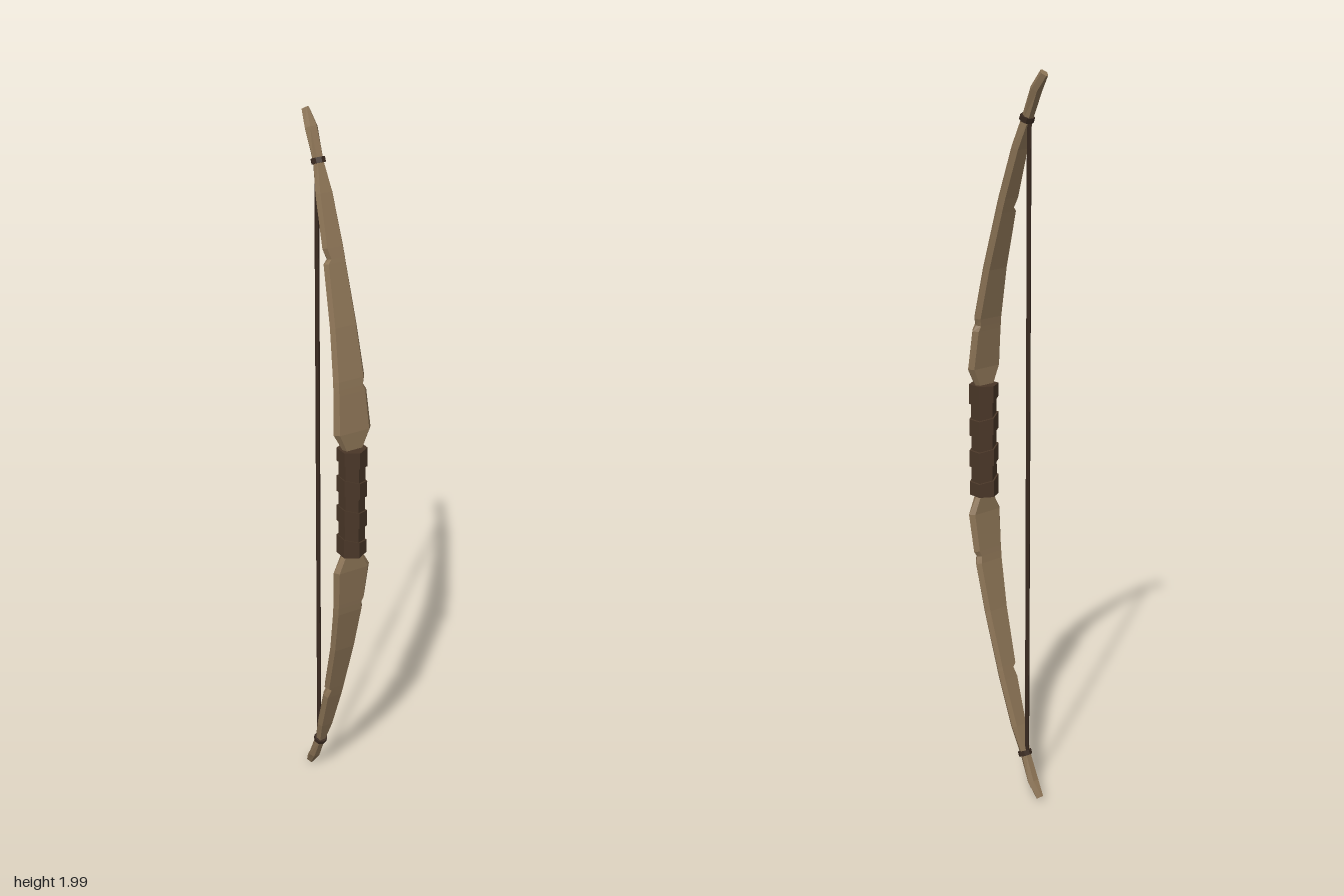
import * as THREE from 'three';

const wood = new THREE.MeshStandardMaterial({ color: 0x8b7355 });
wood.name = 'wood';
const leather = new THREE.MeshStandardMaterial({ color: 0x4a3728 });
leather.name = 'dark leather';
const cord = new THREE.MeshStandardMaterial({ color: 0x3a2a20 });
cord.name = 'bow cord';

// faceted normals
function facet(geometry) {
  const g = geometry.index ? geometry.toNonIndexed() : geometry;
  g.computeVertexNormals();
  return g;
}

function add(group, name, geometry, material) {
  const mesh = new THREE.Mesh(facet(geometry), material);
  mesh.name = name;
  group.add(mesh);
  return mesh;
}

// upper half of the stave: height above the middle, z, half width at -x, half width at +x, flat share
const stations = [
  [0.00, 0.100, 0.026, 0.026, 0.80],
  [0.155, 0.100, 0.028, 0.028, 0.80],
  [0.205, 0.100, 0.055, 0.055, 0.79],
  [0.310, 0.088, 0.049, 0.048, 0.79],
  [0.325, 0.086, 0.048, 0.039, 0.80], // chip on the +x edge
  [0.345, 0.083, 0.047, 0.045, 0.79],
  [0.480, 0.054, 0.039, 0.038, 0.78],
  [0.635, 0.011, 0.032, 0.031, 0.76],
  [0.645, 0.008, 0.019, 0.031, 0.76], // chip on the -x edge
  [0.672, 0.000, 0.029, 0.030, 0.75],
  [0.800, -0.042, 0.024, 0.024, 0.70],
  [0.875, -0.070, 0.013, 0.013, 0.60],
  [0.950, -0.103, 0.018, 0.018, 0.50],
  [0.990, -0.131, 0.011, 0.011, 0.25],
];

// hexagonal sections swept along the curved stave
function staveGeometry() {
  const lower = stations.slice(1).reverse().map(([h, ...rest]) => [-h, ...rest]);
  const path = [...lower, ...stations];
  const t = 0.0125;
  const loops = path.map(([h, z, wl, wr, f], i) => {
    const p = path[Math.max(i - 1, 0)], q = path[Math.min(i + 1, path.length - 1)];
    const len = Math.hypot(q[0] - p[0], q[1] - p[1]);
    const ny = -(q[1] - p[1]) / len, nz = (q[0] - p[0]) / len;
    return [[wr, 0], [wr * f, -t], [-wl * f, -t], [-wl, 0], [-wl * f, t], [wr * f, t]]
      .map(([x, n]) => [x, 1 + h + n * ny, z + n * nz]);
  });
  const pos = [], index = [];
  loops.forEach((loop) => loop.forEach((v) => pos.push(...v)));
  const last = (loops.length - 1) * 6;
  for (let r = 0; r < last; r += 6) {
    for (let i = 0; i < 6; i++) {
      const j = (i + 1) % 6;
      index.push(r + i, r + j, r + 6 + j, r + i, r + 6 + j, r + 6 + i);
    }
  }
  for (let i = 1; i < 5; i++) {
    index.push(0, i + 1, i, last, last + i, last + i + 1);
  }
  const g = new THREE.BufferGeometry();
  g.setAttribute('position', new THREE.Float32BufferAttribute(pos, 3));
  g.setIndex(index);
  return g;
}

// hexagonal band whose top and bottom edges slant across x
function band(radius, height, slantTop, slantBottom) {
  const g = new THREE.CylinderGeometry(radius, radius, height, 6);
  const p = g.attributes.position;
  for (let i = 0; i < p.count; i++) {
    const y = p.getY(i);
    p.setY(i, y + p.getX(i) * (y > 0 ? slantTop : slantBottom));
  }
  return g;
}

export function createModel() {
  const bow = new THREE.Group();
  bow.name = 'bow';

  add(bow, 'stave', staveGeometry(), wood);

  // leather grip: core with four raised wraps
  const grip = new THREE.Group();
  grip.name = 'grip';
  grip.position.set(0, 1, 0.1);
  bow.add(grip);
  add(grip, 'gripCore', band(0.035, 0.3, 0, 0), leather);
  [[0.134, 0, -0.25], [0.045, -0.25, -0.25], [-0.043, -0.25, -0.25], [-0.132, -0.25, 0]]
    .forEach(([y, top, bottom], i) => {
      add(grip, 'gripWrap' + (i + 1), band(0.04, 0.046, top, bottom), leather).position.y = y;
    });

  // string and the knots that tie it to the stave
  add(bow, 'string', new THREE.CylinderGeometry(0.006, 0.006, 1.75, 6), cord)
    .position.set(0, 1, -0.077);
  for (const s of [1, -1]) {
    const knot = add(bow, s > 0 ? 'upperKnot' : 'lowerKnot',
      new THREE.CylinderGeometry(0.019, 0.019, 0.014, 8), cord);
    knot.position.set(0, 1 + s * 0.875, -0.069);
    knot.rotation.x = -s * 0.4;
  }
  return bow;
}
